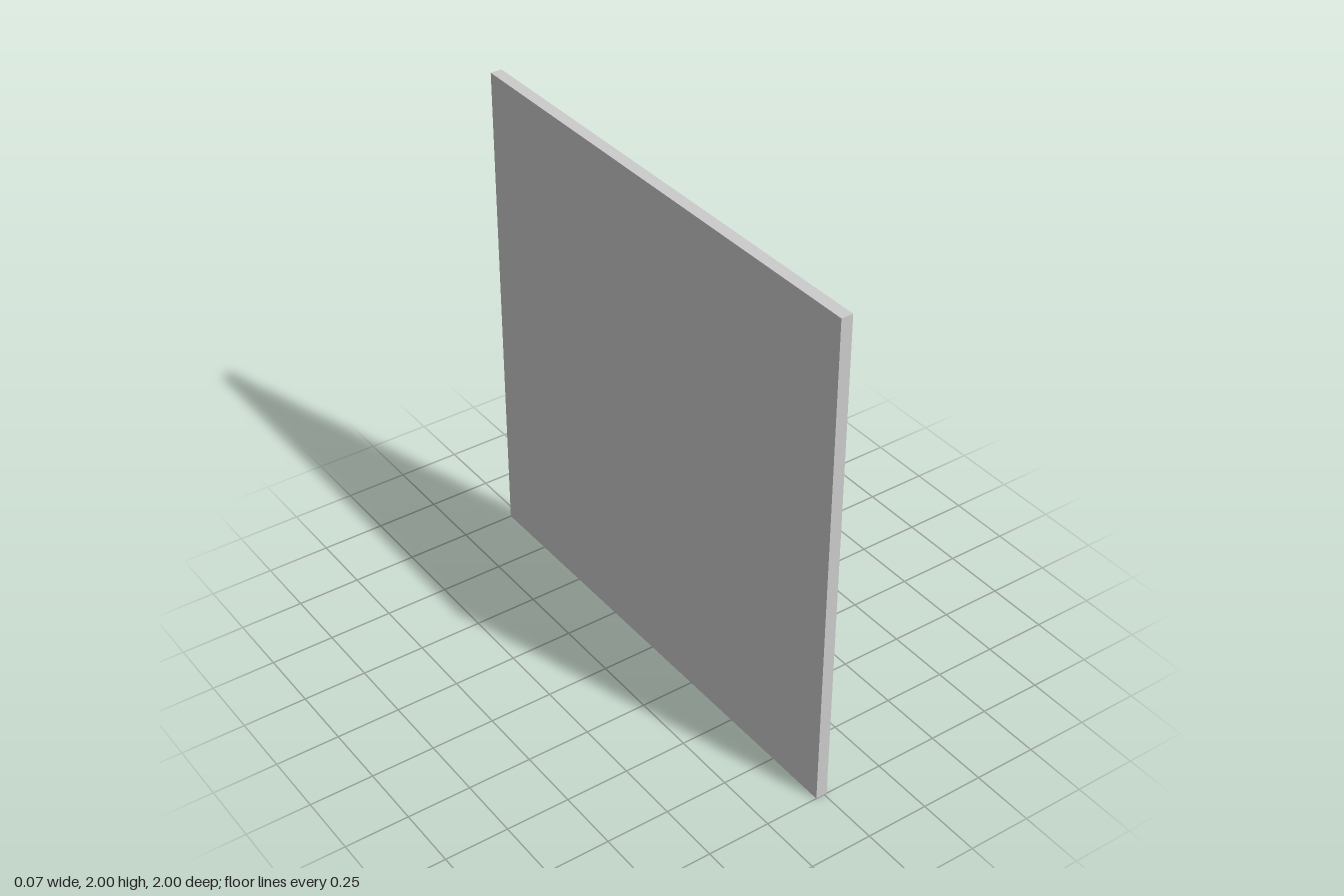
import * as THREE from 'three';

const material = new THREE.MeshStandardMaterial({ color: 0xcccccc, flatShading: true });

// Square outline of the given half width
function square(Type, h) {
  const s = new Type();
  s.moveTo(-h, -h);
  s.lineTo(h, -h);
  s.lineTo(h, h);
  s.lineTo(-h, h);
  s.closePath();
  return s;
}

// Square layer between two x positions, optionally with a square opening
function layer(name, outer, inner, x0, x1) {
  const shape = square(THREE.Shape, outer);
  if (inner) shape.holes.push(square(THREE.Path, inner));
  const geometry = new THREE.ExtrudeGeometry(shape, { depth: x1 - x0, bevelEnabled: false });
  geometry.rotateY(Math.PI / 2);
  geometry.translate(x0, 1, 0);
  const mesh = new THREE.Mesh(geometry, material);
  mesh.name = name;
  return mesh;
}

export function createModel() {
  const group = new THREE.Group();
  group.name = 'wallPanel';
  const floor = -0.011;
  group.add(
    layer('backSlab', 1, 0, -0.035, floor),
    // Rim and raised border leave a groove between them
    layer('outerRim', 1, 0.942, floor, 0.011),
    layer('raisedBorder', 0.9, 0.8, floor, 0.034),
    // Sunken centre inside the raised border
    layer('centreField', 0.8, 0, floor, 0.013)
  );
  return group;
}
